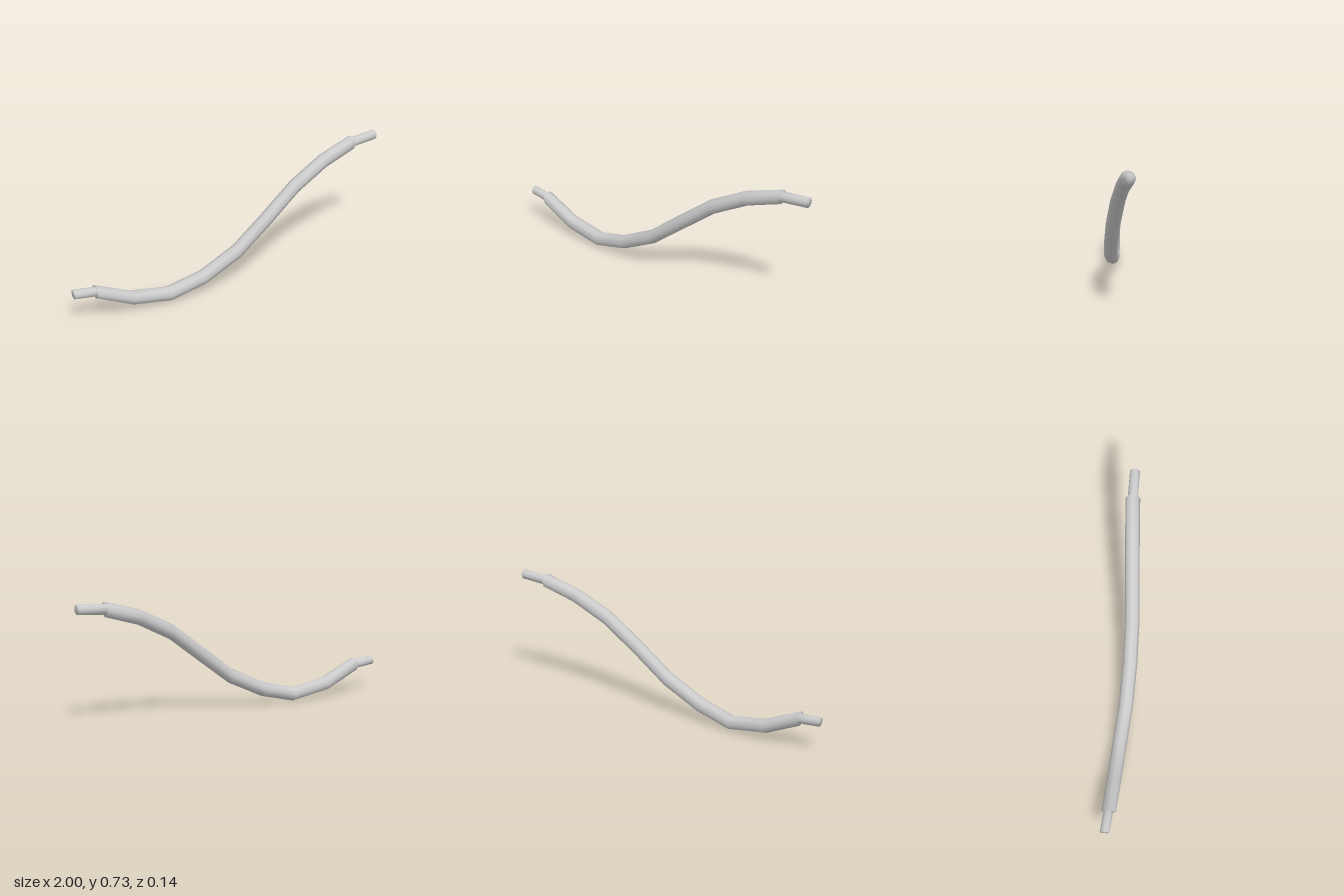
import * as THREE from 'three';

// Sweeps a closed, capped ring along points; rings lean part of the way into the bend.
function sweep(points, radius, sides, lean) {
  const pos = [], index = [];
  const last = points.length - 1;
  points.forEach(([x, y, z], i) => {
    let tilt = 0;
    if (i > 0 && i < last) {
      const [p, n] = [points[i - 1], points[i + 1]];
      tilt = Math.atan2(n[1] - p[1], n[0] - p[0]) * lean;
    }
    for (let j = 0; j < sides; j++) {
      const a = (j / sides) * Math.PI * 2;
      const up = Math.cos(a) * radius;
      pos.push(x - Math.sin(tilt) * up, y + Math.cos(tilt) * up, z + Math.sin(a) * radius);
    }
  });
  const startCentre = pos.length / 3, endCentre = startCentre + 1;
  pos.push(...points[0], ...points[last]);
  for (let j = 0; j < sides; j++) {
    const k = (j + 1) % sides;
    for (let i = 0; i < last; i++) {
      const a = i * sides, b = a + sides;
      index.push(a + j, a + k, b + j, a + k, b + k, b + j);
    }
    index.push(startCentre, k, j, endCentre, last * sides + j, last * sides + k);
  }
  const geometry = new THREE.BufferGeometry();
  geometry.setAttribute('position', new THREE.Float32BufferAttribute(pos, 3));
  geometry.setIndex(index);
  geometry.computeVertexNormals();
  return geometry;
}

export function createModel() {
  const group = new THREE.Group();
  group.name = 'bentHose';
  const material = new THREE.MeshStandardMaterial({ color: 0xcccccc });
  const add = (name, geometry) => {
    const mesh = new THREE.Mesh(geometry, material);
    mesh.name = name;
    group.add(mesh);
  };

  // Thick hose following an S-shaped path
  add('hose', sweep([
    [-0.875, 0.174, -0.026],
    [-0.66, 0.078, -0.014],
    [-0.43, 0.042, 0.0],
    [-0.22, 0.096, 0.018],
    [0.005, 0.205, 0.025],
    [0.205, 0.357, 0.021],
    [0.41, 0.51, 0.005],
    [0.62, 0.616, -0.012],
    [0.835, 0.682, -0.026],
  ], 0.042, 8, 0.5));

  // Thinner connector rods at both ends
  add('rightEndRod', sweep([[-1, 0.187, -0.039], [-0.87, 0.174, -0.027]], 0.027, 12, 0));
  add('leftEndRod', sweep([[0.83, 0.682, -0.027], [1, 0.697, -0.027]], 0.029, 12, 0));
  return group;
}
